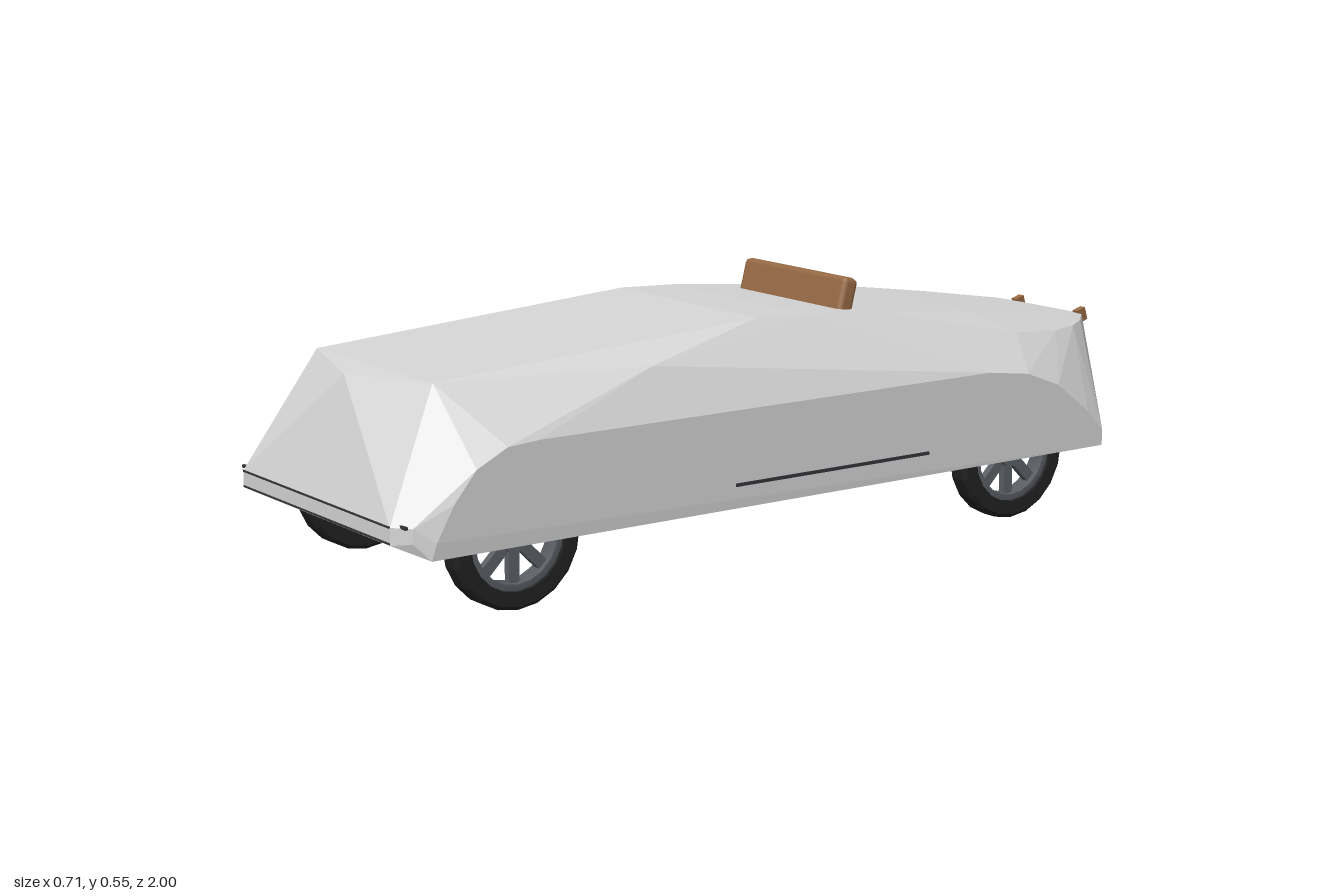
import * as THREE from 'three';
import { ConvexGeometry } from 'three/addons/geometries/ConvexGeometry.js';
import { RoundedBoxGeometry } from 'three/addons/geometries/RoundedBoxGeometry.js';

const paint = (name, color) => Object.assign(new THREE.MeshStandardMaterial({ color }), { name });

export function createModel() {
  const car = new THREE.Group();
  car.name = 'car';
  const silver = paint('silver body', 0xd6d6d6);
  const brown = paint('brown leather', 0x986b45);
  const rubber = paint('black rubber', 0x222222);
  const steel = paint('grey steel', 0x5c6066);
  const trim = paint('dark trim', 0x34343a);

  const add = (name, geometry, material, x = 0, y = 0, z = 0, parent = car) => {
    const mesh = new THREE.Mesh(geometry, material);
    mesh.name = name;
    mesh.position.set(x, y, z);
    parent.add(mesh);
    return mesh;
  };
  const box = (name, w, h, d, material, x, y, z, parent) =>
    add(name, new THREE.BoxGeometry(w, h, d), material, x, y, z, parent);

  // Body shell: a faceted convex skin over mirrored half-width corner points
  const corners = [
    // nose and bumper
    [0.30, 0.165, 1], [0.30, 0.2, 1], [0.335, 0.17, 0.97], [0.335, 0.2, 0.97],
    [0.352, 0.136, 0.94], [0.354, 0.17, 0.93], [0.354, 0.24, 0.89],
    // front fender and sill
    [0.354, 0.30, 0.84], [0.354, 0.335, 0.77], [0.354, 0.34, 0.7],
    // bonnet and roof crease
    [0.23, 0.45, 0.86], [0.245, 0.5, 0.1], [0.305, 0.443, 0.4],
    // tail lid, narrowing and dropping
    [0.245, 0.494, -0.04], [0.24, 0.475, -0.25], [0.22, 0.45, -0.5],
    [0.17, 0.425, -0.7], [0.1, 0.402, -0.87],
    [0.27, 0.40, -0.6], [0.245, 0.387, -0.74], [0.215, 0.386, -0.82],
    [0.175, 0.386, -0.88], [0.11, 0.385, -0.945], [0.02, 0.372, -1],
    // rear fender and corner
    [0.354, 0.34, -0.45], [0.354, 0.325, -0.56], [0.354, 0.29, -0.65],
    [0.354, 0.22, -0.74], [0.354, 0.175, -0.785], [0.354, 0.138, -0.785],
  ];
  const points = [[0, 0.44, 0.925], [-0.12, 0.112, 0.12], [-0.12, 0.112, -0.89]]
    .map(p => new THREE.Vector3(...p));
  for (const [x, y, z] of corners) {
    points.push(new THREE.Vector3(x, y, z), new THREE.Vector3(-x, y, z));
  }
  add('bodyShell', new ConvexGeometry(points), silver);

  // Backrest standing across the top, leaning to the rear
  const backrest = add('backrest', new RoundedBoxGeometry(0.36, 0.11, 0.04, 1, 0.012), brown, 0, 0.493, -0.195);
  backrest.rotation.x = -0.25;

  // Dark lines on the front bumper and on each sill
  box('bumperUpperLine', 0.6, 0.004, 0.004, trim, 0, 0.2, 0.999);
  box('bumperLowerLine', 0.6, 0.004, 0.004, trim, 0, 0.168, 0.999);
  for (const side of [-1, 1]) {
    box('sillLine', 0.004, 0.007, 0.51, trim, side * 0.354, 0.186, -0.025);
    box('bumperEnd', 0.03, 0.006, 0.006, trim, side * 0.318, 0.202, 0.983);
    const strap = box('tailStrap', 0.016, 0.03, 0.025, brown, side * 0.105, 0.382, -0.945);
    strap.rotation.x = 0.3;
  }

  // Rear plate with a dark end
  box('rearPlate', 0.19, 0.035, 0.006, silver, -0.005, 0.25, -0.95);
  box('rearPlateEnd', 0.012, 0.04, 0.008, trim, 0.096, 0.25, -0.95);

  // Wheels: tyre and rim rings turned about the axle, with hub and spokes
  const ring = (inner, outer, half, bevel) => new THREE.LatheGeometry([
    [inner, -half], [outer - bevel, -half], [outer, -half + bevel],
    [outer, half - bevel], [outer - bevel, half], [inner, half], [inner, -half],
  ].map(([r, y]) => new THREE.Vector2(r, y)), 20);
  const rubberFlat = rubber;
  rubberFlat.flatShading = true;
  const tyre = ring(0.108, 0.146, 0.026, 0.008);
  const rim = ring(0.094, 0.11, 0.02, 0.003);
  const hub = new THREE.CylinderGeometry(0.032, 0.032, 0.036, 12);
  for (const side of [-1, 1]) {
    for (const z of [0.73, -0.55]) {
      const wheel = new THREE.Group();
      wheel.name = z > 0 ? 'frontWheel' : 'rearWheel';
      wheel.position.set(side * 0.298, 0.145, z);
      wheel.rotation.z = Math.PI / 2;
      add('tyre', tyre, rubberFlat, 0, 0, 0, wheel);
      add('rim', rim, steel, 0, 0, 0, wheel);
      add('hub', hub, steel, 0, 0, 0, wheel);
      for (let i = 0; i < 8; i++) {
        const a = (i * Math.PI) / 4;
        const spoke = box('spoke', 0.075, 0.016, 0.024, steel, 0.062 * Math.cos(a), 0, -0.062 * Math.sin(a), wheel);
        spoke.rotation.y = a;
      }
      car.add(wheel);
    }
  }
  return car;
}
